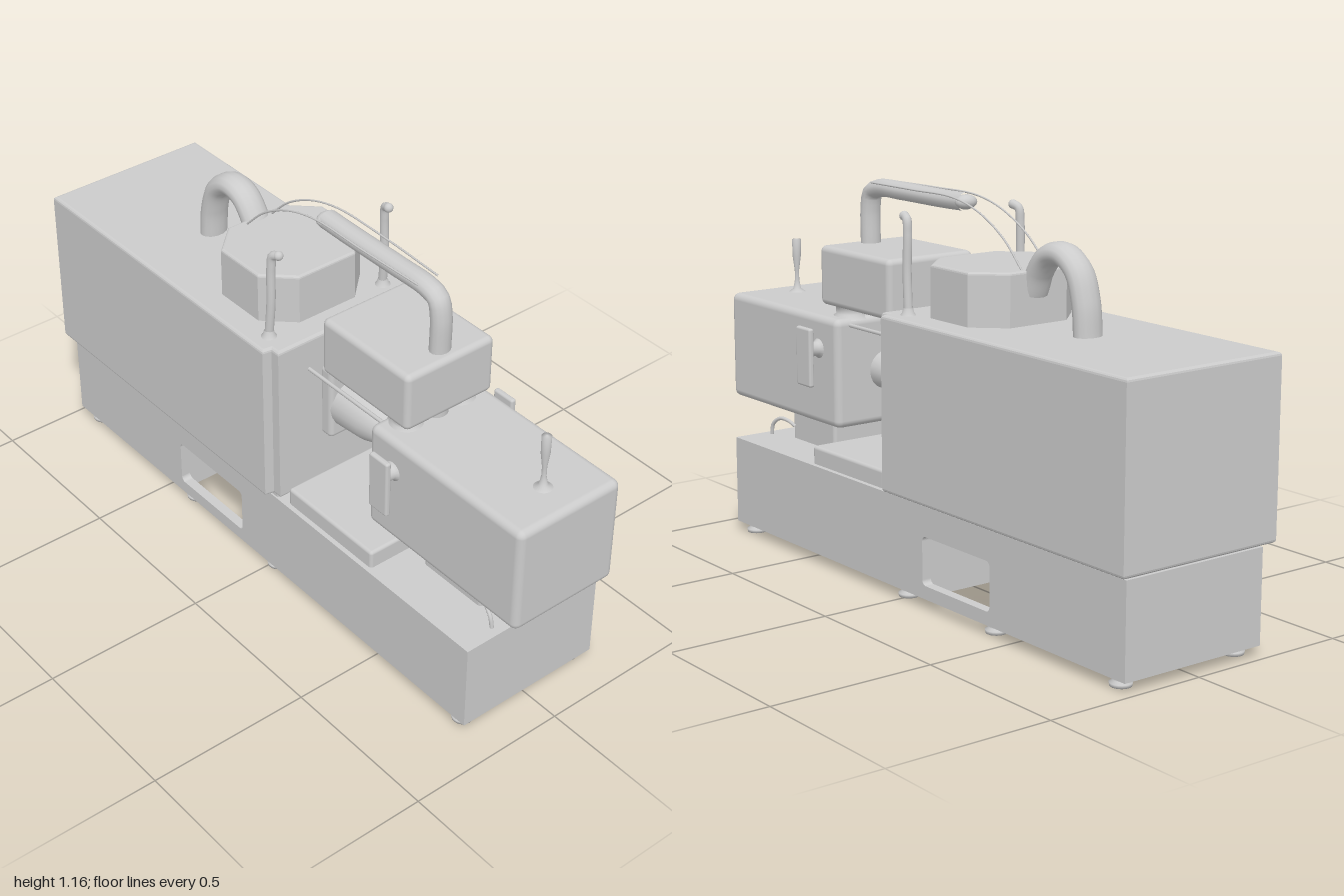
import * as THREE from 'three';
import { RoundedBoxGeometry } from 'three/addons/geometries/RoundedBoxGeometry.js';

const grey = new THREE.MeshStandardMaterial({ color: 0xcccccc });
const V = (x, y, z) => new THREE.Vector3(x, y, z);

export function createModel() {
  const model = new THREE.Group();
  const add = (name, geometry) => {
    const mesh = new THREE.Mesh(geometry, grey);
    mesh.name = name;
    model.add(mesh);
    return mesh;
  };
  // Rounded box given by its limits on each axis
  const box = (name, [x0, x1], [y0, y1], [z0, z1], r = 0.012) => {
    const g = new RoundedBoxGeometry(x1 - x0, y1 - y0, z1 - z0, 3, r);
    g.translate((x0 + x1) / 2, (y0 + y1) / 2, (z0 + z1) / 2);
    return add(name, g);
  };
  const shapeOf = pts => new THREE.Shape(pts.map(p => new THREE.Vector2(...p)));
  // Side profile (z, y) extruded from x0 to x1
  const extrudeX = (name, shape, x0, x1) => {
    const g = new THREE.ExtrudeGeometry(shape, { depth: x1 - x0, bevelEnabled: false, curveSegments: 5 });
    g.rotateY(-Math.PI / 2).translate(x1, 0, 0);
    return add(name, g);
  };
  // Footprint (x, z) extruded from y0 to y1 with softened edges
  const extrudeY = (name, shape, y0, y1, b) => {
    const g = new THREE.ExtrudeGeometry(shape, {
      depth: y1 - y0 - 2 * b, bevelThickness: b, bevelSize: b, bevelOffset: -b, bevelSegments: 3,
    });
    g.rotateX(Math.PI / 2).translate(0, y1 - b, 0);
    return add(name, g);
  };
  const tube = (name, pts, r, sides = 14) =>
    add(name, new THREE.TubeGeometry(new THREE.CatmullRomCurve3(pts, false, 'centripetal'), 48, r, sides));
  const lathe = (name, pts) =>
    add(name, new THREE.LatheGeometry(pts.map(p => new THREE.Vector2(...p)), 20));

  // Base: core with a chute open below, side skins with a rounded window
  const B = 0.03, T = 0.305;
  extrudeX('baseCore', shapeOf([[-0.98, B], [-0.42, B], [-0.42, 0.215], [-0.11, 0.215],
    [-0.11, B], [0.89, B], [0.89, T], [-0.98, T]]), -0.21, 0.21);
  for (const s of [-1, 1]) {
    const skin = shapeOf([[-0.98, B], [0.89, B], [0.89, T], [-0.98, T]]);
    const w = new THREE.Path(), r = 0.015, z0 = -0.42, z1 = -0.11, y0 = 0.07, y1 = 0.215;
    w.absarc(z0 + r, y0 + r, r, Math.PI * 1.5, Math.PI, true);
    w.absarc(z0 + r, y1 - r, r, Math.PI, Math.PI / 2, true);
    w.absarc(z1 - r, y1 - r, r, Math.PI / 2, 0, true);
    w.absarc(z1 - r, y0 + r, r, 0, -Math.PI / 2, true);
    w.closePath();
    skin.holes.push(w);
    extrudeX('baseSide', skin, s > 0 ? 0.21 : -0.24, s > 0 ? 0.24 : -0.21);
    // Feet
    for (const z of [0.84, 0.01, -0.4, -0.92]) {
      lathe('foot', [[0, 0], [0.03, 0], [0.032, 0.01], [0.021, 0.016], [0.021, 0.026], [0.032, 0.033]])
        .position.set(s * 0.2, 0, z);
    }
  }
  box('housingSpacer', [-0.235, 0.235], [0.3, 0.33], [-0.97, 0.06], 0.004);
  box('workTable', [-0.225, 0.225], [0.29, 0.36], [0.1, 0.47], 0.01);

  // Rear housing, stepped in at its front corners
  extrudeY('rearHousing', shapeOf([[-0.268, -1], [0.268, -1], [0.268, 0.045], [0.24, 0.05],
    [0.24, 0.08], [-0.24, 0.08], [-0.24, 0.05], [-0.268, 0.045]]), 0.315, 0.832, 0.01);

  // Eight-sided drum on the housing
  extrudeY('octagonalDrum', shapeOf([[-0.1, -0.33], [0.1, -0.33], [0.185, -0.25], [0.185, -0.08],
    [0.1, 0], [-0.1, 0], [-0.185, -0.08], [-0.185, -0.25]]), 0.82, 0.985, 0.008);

  // Arched hose behind the drum
  tube('rearHose', [V(0, 0.82, -0.54), V(0, 0.92, -0.53), V(0, 1.0, -0.5), V(0, 1.04, -0.44),
    V(0, 1.03, -0.38), V(0, 0.98, -0.335), V(0, 0.92, -0.31)], 0.033).scale.x = 1.35;

  // Feed arm: riser, level run and drooping end
  tube('feedArm', [V(0, 0.72, 0.475), V(0, 0.95, 0.475), V(0, 1.07, 0.475), V(0, 1.115, 0.462),
    V(0, 1.131, 0.42), V(0, 1.133, 0.3), V(0, 1.133, 0.1), V(0, 1.135, 0.0)], 0.027).scale.x = 1.2;
  add('feedArmEnd', new THREE.SphereGeometry(0.027, 14, 10).scale(1.3, 0.8, 1)).position.set(0, 1.135, 0);

  for (const s of [-1, 1]) {
    // Thin cable from the arm to the drum
    tube('cable', [V(s * 0.035, 1.15, 0.42), V(s * 0.043, 1.152, 0.2), V(s * 0.043, 1.15, 0),
      V(s * 0.043, 1.12, -0.12), V(s * 0.044, 1.06, -0.23), V(s * 0.045, 0.98, -0.315)], 0.003, 6);
    // Upright pole with a hooked tip
    tube('pole', [V(s * 0.207, 0.82, -0.005), V(s * 0.204, 0.95, 0.005), V(s * 0.202, 1.06, 0.005),
      V(s * 0.2, 1.1, 0.01), V(s * 0.195, 1.109, 0.028)], 0.013, 12);
    add('poleTip', new THREE.SphereGeometry(0.014, 12, 8)).position.set(s * 0.195, 1.109, 0.03);
    lathe('poleCollar', [[0.026, 0], [0.018, 0.01], [0.013, 0.025]]).position.set(s * 0.207, 0.828, -0.003);
    // Side handle on a short stem
    box('sideHandle', [s * 0.226 - 0.009, s * 0.226 + 0.009], [0.54, 0.72], [0.465, 0.54], 0.007);
    const stem = lathe('handleStem', [[0.034, 0], [0.022, 0.012], [0.022, 0.035], [0.03, 0.048]]);
    stem.rotation.z = -s * Math.PI / 2;
    stem.position.set(s * 0.176, 0.65, 0.5);
    // Small hoop on the front deck
    tube('deckHoop', [V(s * 0.125, 0.3, 0.86), V(s * 0.125, 0.34, 0.85), V(s * 0.118, 0.362, 0.82),
      V(s * 0.11, 0.36, 0.785), V(s * 0.1, 0.345, 0.76)], 0.006, 8);
    // Neck under the top box
    lathe('topBoxNeck', [[0.058, 0], [0.04, 0.015], [0.04, 0.035], [0.055, 0.05]])
      .position.set(s * 0.095, 0.742, 0.455);
    // Guide rod between head and housing
    const rod = add('guideRod', new THREE.CylinderGeometry(0.006, 0.006, 0.34, 8));
    rod.rotation.x = Math.PI / 2;
    rod.position.set(s * 0.13, 0.73, 0.24);
  }

  // Front head, its pedestal and the box above
  box('frontHead', [-0.18, 0.18], [0.415, 0.75], [0.4, 1], 0.022);
  box('pedestal', [-0.095, 0.095], [0.29, 0.43], [0.545, 0.78], 0.012);
  box('pedestalFlange', [-0.11, 0.11], [0.395, 0.42], [0.53, 0.79], 0.01);
  box('topBox', [-0.155, 0.155], [0.78, 0.96], [0.165, 0.525], 0.018);

  // Control lever
  lathe('lever', [[0.03, 0], [0.012, 0.012], [0.007, 0.04], [0.007, 0.07], [0.013, 0.115],
    [0.014, 0.17], [0, 0.172]]).position.set(0, 0.748, 0.89);

  // Barrel between head and housing, with a fitting above and below
  const barrel = lathe('barrel', [[0.085, 0], [0.08, 0.08], [0.075, 0.15], [0.06, 0.2], [0.042, 0.23],
    [0.042, 0.25], [0.058, 0.28], [0.06, 0.35]]);
  barrel.rotation.x = Math.PI / 2;
  barrel.position.set(0, 0.58, 0.07);
  lathe('upperFitting', [[0.016, 0], [0.014, 0.05], [0.024, 0.085], [0.024, 0.1], [0, 0.1]])
    .position.set(0, 0.63, 0.21);
  lathe('lowerFitting', [[0, 0], [0.018, 0], [0.02, 0.05]]).position.set(0, 0.48, 0.29);
  box('barrelFlange', [-0.085, 0.085], [0.48, 0.72], [0.07, 0.12], 0.015);

  return model;
}
